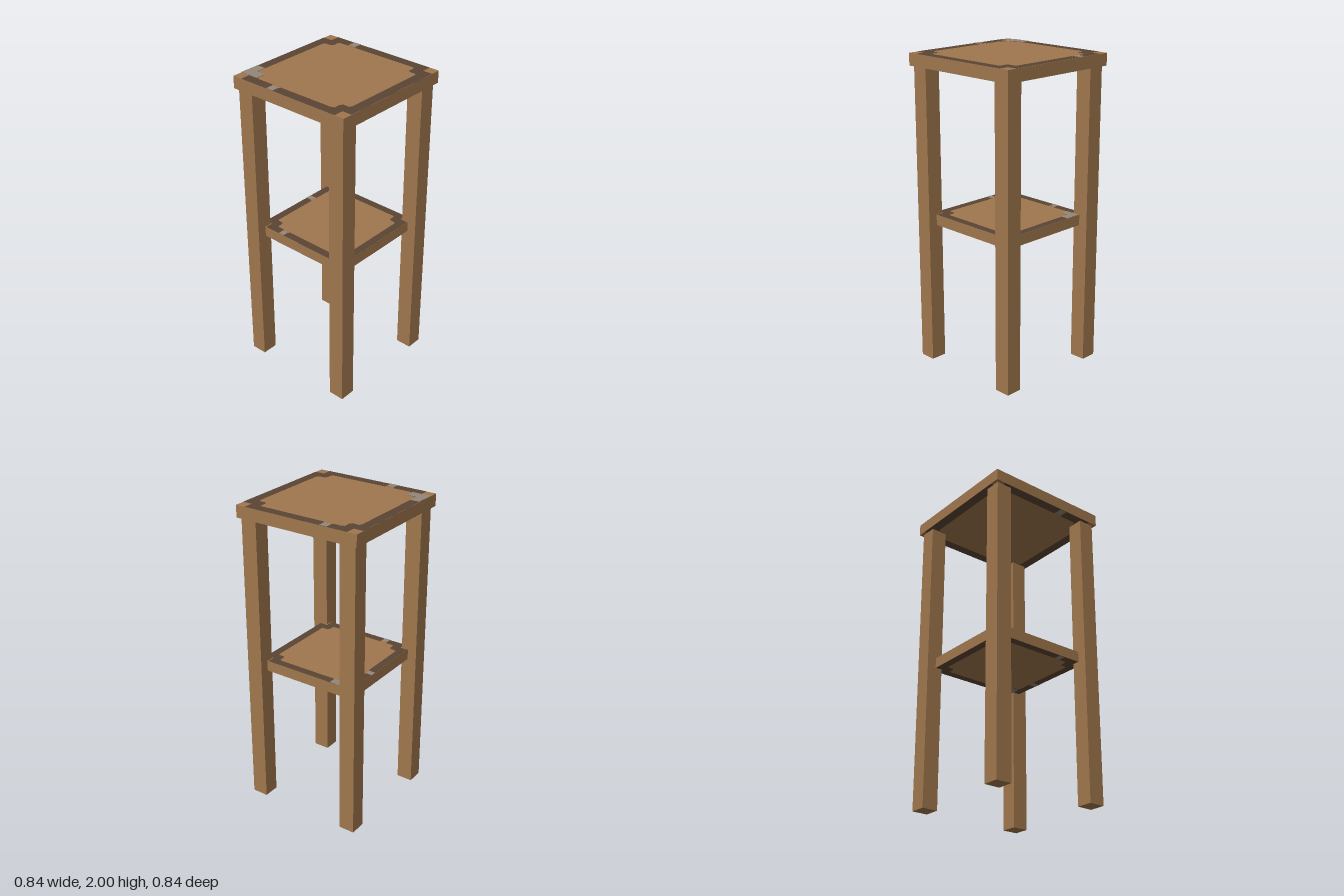
import * as THREE from 'three';

const wood = new THREE.MeshStandardMaterial({ color: 0x9f774d });
wood.name = 'lightWood';
const dark = new THREE.MeshStandardMaterial({ color: 0x5b4535 });
dark.name = 'darkBorder';
const grey = new THREE.MeshStandardMaterial({ color: 0x94867a });
grey.name = 'greyPatch';

function box(name, w, h, d, x, y, z) {
  const mesh = new THREE.Mesh(new THREE.BoxGeometry(w, h, d), wood);
  mesh.name = name;
  mesh.position.set(x, y, z);
  return mesh;
}

// Mirrors one corner's points into a closed four-way symmetric outline
function fourWay(corner) {
  const pts = [];
  const back = [...corner].reverse();
  for (const [sx, sy, list] of [[1, 1, corner], [-1, 1, back], [-1, -1, corner], [1, -1, back]]) {
    for (const [x, y] of list) pts.push(new THREE.Vector2(sx * x, sy * y));
  }
  return pts;
}

// Flat face lying in the xz plane, facing up; z = -shape y
function flatFace(name, shape, material, height) {
  const geo = new THREE.ShapeGeometry(shape);
  geo.rotateX(-Math.PI / 2);
  const mesh = new THREE.Mesh(geo, material);
  mesh.name = name;
  mesh.position.y = height;
  return mesh;
}

function rectFace(name, [x0, x1, z0, z1], material, height) {
  const pts = [[x0, -z1], [x1, -z1], [x1, -z0], [x0, -z0]].map(([x, y]) => new THREE.Vector2(x, y));
  return flatFace(name, new THREE.Shape(pts), material, height);
}

// Painted surface for a board of half width 0.42
function inlay(patches, bulges) {
  const group = new THREE.Group();
  group.name = 'inlay';
  const border = new THREE.Shape(fourWay([[0.42, 0.356], [0.356, 0.356], [0.356, 0.42]]));
  border.holes.push(new THREE.Path(fourWay([
    [0.357, 0.282], [0.35, 0.282], [0.35, 0.293], [0.302, 0.293], [0.302, 0.302],
    [0.291, 0.302], [0.291, 0.35], [0.282, 0.35], [0.282, 0.357],
  ]).reverse()));
  group.add(flatFace('darkBorder', border, dark, 0.001));
  bulges.forEach((r) => group.add(rectFace('panelBulge', r, wood, 0.002)));
  patches.forEach((r) => group.add(rectFace('greyPatch', r, grey, 0.003)));
  return group;
}

// Square board with the painted surface above and below
function board(name, half, y0, y1, patches, bulges) {
  const group = new THREE.Group();
  group.name = name;
  group.add(box('slab', half * 2, y1 - y0, half * 2, 0, (y0 + y1) / 2, 0));
  for (const up of [true, false]) {
    const face = inlay(patches, bulges);
    face.scale.set(half / 0.42, 1, half / 0.42);
    face.position.y = up ? y1 : y0;
    if (!up) face.rotation.x = Math.PI;
    group.add(face);
  }
  return group;
}

export function createModel() {
  const model = new THREE.Group();
  model.name = 'stand';

  // Four square legs
  for (const sx of [-1, 1]) {
    for (const sz of [-1, 1]) {
      model.add(box('leg', 0.105, 1.92, 0.105, sx * 0.3475, 0.96, sz * 0.3475));
    }
  }

  // Table top
  model.add(board('tableTop', 0.42, 1.92, 1.997,
    [[-0.357, -0.225, -0.42, -0.357], [-0.357, -0.291, -0.357, -0.294],
      [0.369, 0.42, -0.22, -0.171], [-0.42, -0.369, -0.155, -0.106]],
    [[0.356, 0.37, -0.222, -0.165], [-0.37, -0.356, -0.16, -0.1]]));

  // Lower shelf, its corners set into the legs
  model.add(board('shelf', 0.34, 0.915, 0.983,
    [[0.357, 0.42, -0.357, -0.225], [0.294, 0.357, -0.357, -0.291],
      [0.106, 0.155, -0.42, -0.369], [-0.42, -0.369, -0.22, -0.171]],
    [[0.1, 0.16, -0.37, -0.356], [-0.37, -0.356, -0.222, -0.165]]));

  return model;
}
